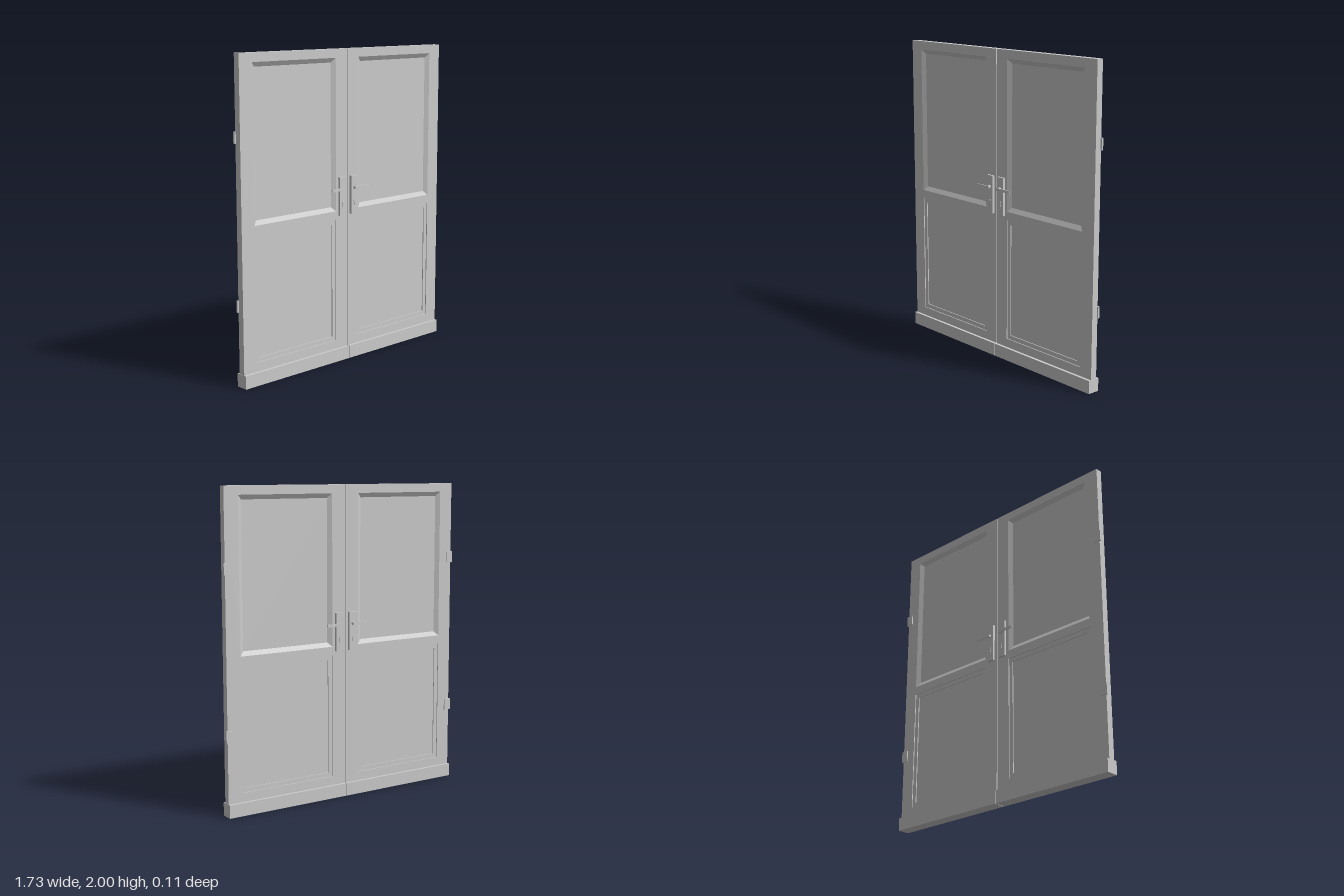
import * as THREE from 'three';

const mat = new THREE.MeshStandardMaterial({ color: 0xcccccc, flatShading: true });

function add(parent, name, geometry, x = 0, y = 0, z = 0) {
  const mesh = new THREE.Mesh(geometry, mat);
  mesh.name = name;
  mesh.position.set(x, y, z);
  parent.add(mesh);
  return mesh;
}

// Box given by its lower and upper corners
function block(parent, name, [x0, y0, z0], [x1, y1, z1]) {
  const g = new THREE.BoxGeometry(Math.abs(x1 - x0), y1 - y0, Math.abs(z1 - z0));
  return add(parent, name, g, (x0 + x1) / 2, (y0 + y1) / 2, (z0 + z1) / 2);
}

// Rectangle centred on x = 0, counter-clockwise
const rect = (w, y0, y1) => [[-w / 2, y0], [w / 2, y0], [w / 2, y1], [-w / 2, y1]];

// Recess made of nested rectangles [inset, z], closed by a flat panel
function recess(w, y0, y1, steps) {
  const pos = [], index = [];
  for (const [inset, z] of steps)
    for (const [x, y] of rect(w - 2 * inset, y0 + inset, y1 - inset)) pos.push(x, y, z);
  for (let s = 0; s < steps.length - 1; s++)
    for (let i = 0; i < 4; i++) {
      const a = s * 4 + i, b = s * 4 + (i + 1) % 4;
      index.push(a, b, b + 4, a, b + 4, a + 4);
    }
  const l = (steps.length - 1) * 4;
  index.push(l, l + 1, l + 2, l, l + 2, l + 3);
  const g = new THREE.BufferGeometry();
  g.setAttribute('position', new THREE.Float32BufferAttribute(pos, 3));
  g.setIndex(index);
  const flat = g.toNonIndexed();
  flat.computeVertexNormals();
  return flat;
}

const T = 0.022;                 // half thickness of a leaf
const PANEL_W = 0.66;
const UPPER = [0.985, 1.945], LOWER = [0.14, 0.928];

// Stiles and rails with an upper bevelled and a lower stepped panel
function makeLeaf(s) {
  const leaf = new THREE.Group();
  leaf.name = s > 0 ? 'leftLeaf' : 'rightLeaf';
  leaf.position.x = s * 0.428;
  const toPath = (p) => p.map(([x, y]) => new THREE.Vector2(x, y));
  const shape = new THREE.Shape(toPath(rect(0.85, 0.005, 2)));
  for (const [y0, y1] of [UPPER, LOWER])
    shape.holes.push(new THREE.Path(toPath(rect(PANEL_W, y0, y1).reverse())));
  const frame = new THREE.ExtrudeGeometry(shape, { depth: 2 * T, bevelEnabled: false });
  add(leaf, 'leafFrame', frame, 0, 0, -T);

  const bevel = [[0, T], [0.028, 0.005]];
  const stepped = [[0, T], [0, T - 0.006], [0.028, T - 0.006], [0.028, T - 0.012]];
  for (const turn of [0, Math.PI]) {
    add(leaf, 'upperPanel', recess(PANEL_W, ...UPPER, bevel)).rotation.y = turn;
    add(leaf, 'lowerPanel', recess(PANEL_W, ...LOWER, stepped)).rotation.y = turn;
  }
  return leaf;
}

// Backplate, spindle, tapered lever and lock cylinder, facing +z
function makeHandle(s) {
  const handle = new THREE.Group();
  handle.name = 'handle';
  block(handle, 'backplate', [s * 0.022, 0.955, T], [s * 0.078, 1.2, 0.037]);
  const spindle = new THREE.CylinderGeometry(0.011, 0.011, 0.016, 16).rotateX(Math.PI / 2);
  add(handle, 'spindle', spindle, s * 0.05, 1.125, 0.045);
  const outline = [[0.04, 0.047], [0.04, 0.057], [0.155, 0.057], [0.155, 0.052], [0.07, 0.049]];
  const shape = new THREE.Shape(outline.map(([x, z]) => new THREE.Vector2(s * x, z)));
  const lever = new THREE.ExtrudeGeometry(shape, { depth: 0.017, bevelEnabled: false });
  add(handle, 'lever', lever.rotateX(Math.PI / 2), 0, 1.133, 0);
  const lock = new THREE.CylinderGeometry(0.008, 0.008, 0.006, 12).rotateX(Math.PI / 2);
  add(handle, 'lockCylinder', lock, s * 0.05, 1.038, 0.038);
  block(handle, 'lockBody', [s * 0.046, 1.01, 0.036], [s * 0.054, 1.038, 0.04]);
  return handle;
}

export function createModel() {
  const doors = new THREE.Group();
  doors.name = 'doubleDoor';
  for (const s of [1, -1]) {
    doors.add(makeLeaf(s));
    block(doors, 'kickBoard', [s * 0.002, 0, -0.04], [s * 0.855, 0.083, 0.04]);

    // Handles on both faces
    doors.add(makeHandle(s));
    const back = makeHandle(-s);
    back.rotation.y = Math.PI;
    doors.add(back);

    // Angled hinges wrapping the rear outer edge
    for (const y of [0.503, 1.513]) {
      const hinge = new THREE.Group();
      hinge.name = 'hinge';
      block(hinge, 'hingeBackLeaf', [s * 0.815, y - 0.036, -0.029], [s * 0.863, y + 0.036, -T]);
      block(hinge, 'hingeSideLeaf', [s * 0.853, y - 0.036, -T], [s * 0.863, y + 0.036, -0.017]);
      doors.add(hinge);
    }
  }
  return doors;
}
